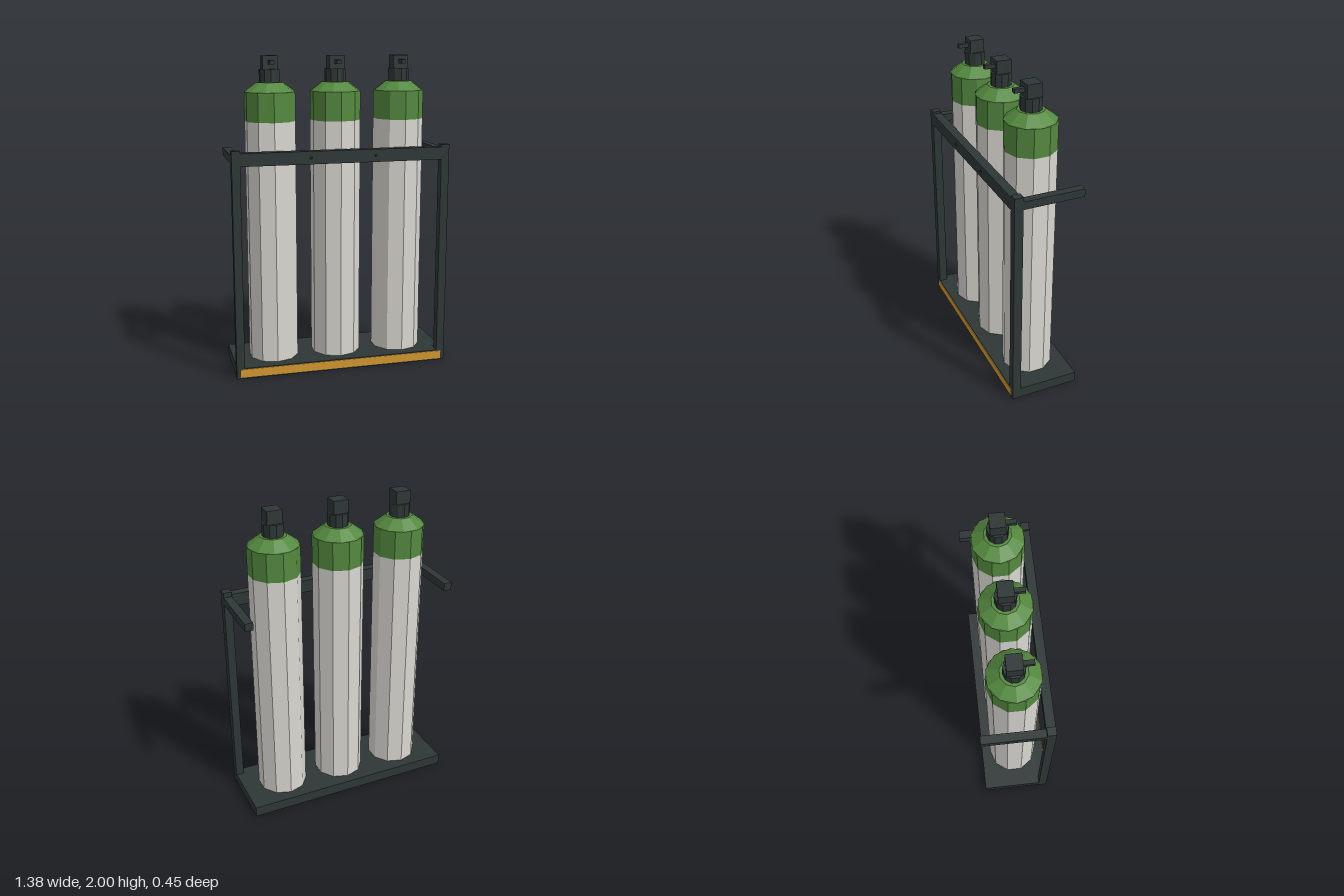
import * as THREE from 'three';

const mat = (name, color) => {
  const m = new THREE.MeshStandardMaterial({ color, flatShading: true });
  m.name = name;
  return m;
};

export function createModel() {
  const root = new THREE.Group();
  root.name = 'cylinderRack';
  const steel = mat('dark steel', 0x2e3736);
  const grey = mat('pale grey', 0xd9d7d1);
  const green = mat('green', 0x54893f);
  const amber = mat('amber', 0xd3982f);

  const add = (parent, name, geometry, material, x, y, z) => {
    const mesh = new THREE.Mesh(geometry, material);
    mesh.name = name;
    mesh.position.set(x, y, z);
    parent.add(mesh);
    return mesh;
  };
  // box given by its lower and upper corners
  const box = (parent, name, material, [x0, y0, z0], [x1, y1, z1]) =>
    add(parent, name, new THREE.BoxGeometry(x1 - x0, y1 - y0, z1 - z0), material,
      (x0 + x1) / 2, (y0 + y1) / 2, (z0 + z1) / 2);
  // ten-sided drum between two heights
  const drum = (parent, name, material, rTop, rBottom, y0, y1, turn = 0) => {
    const g = new THREE.CylinderGeometry(rTop, rBottom, y1 - y0, 10);
    g.rotateY(turn);
    return add(parent, name, g, material, 0, (y0 + y1) / 2, 0);
  };

  // rack: base tray, front posts, rail and side arms
  const rack = new THREE.Group();
  rack.name = 'rack';
  root.add(rack);
  const back = -0.227, front = 0.215;
  box(rack, 'base', steel, [-0.69, 0, back], [0.69, 0.068, front - 0.001]);
  box(rack, 'warningStrip', amber, [-0.668, 0.01, front], [0.668, 0.063, front + 0.004]);
  box(rack, 'topRail', steel, [-0.64, 1.35, 0.157], [0.64, 1.43, front]);
  for (const s of [-1, 1]) {
    const xs = [s * 0.64, s * 0.692].sort((a, b) => a - b);
    box(rack, 'post', steel, [xs[0], 0, 0.16], [xs[1], 1.445, front]);
    box(rack, 'sideArm', steel, [xs[0], 1.365, back], [xs[1], 1.415, 0.16]);
    // pointed stud on the rail
    const stud = add(rack, 'railStud', new THREE.OctahedronGeometry(0.017), steel, s * 0.206, 1.39, 0.208);
    stud.rotation.z = Math.PI / 4;
  }

  // three gas cylinders with valves
  for (const x of [-0.418, 0, 0.418]) {
    const tank = new THREE.Group();
    tank.name = 'gasCylinder';
    tank.position.set(x, 0, -0.006);
    root.add(tank);
    drum(tank, 'body', grey, 0.16, 0.16, 0.06, 1.6);
    drum(tank, 'collarBand', green, 0.16, 0.16, 1.6, 1.78);
    drum(tank, 'shoulder', green, 0.083, 0.16, 1.78, 1.838, Math.PI / 10);
    drum(tank, 'valveNeck', steel, 0.065, 0.065, 1.835, 1.918);
    box(tank, 'valveBlock', steel, [-0.048, 1.915, -0.046], [0.048, 2, 0.046]);
    box(tank, 'valveOutlet', steel, [-0.014, 1.948, 0.046], [0.014, 1.973, 0.11]);
  }
  return root;
}
